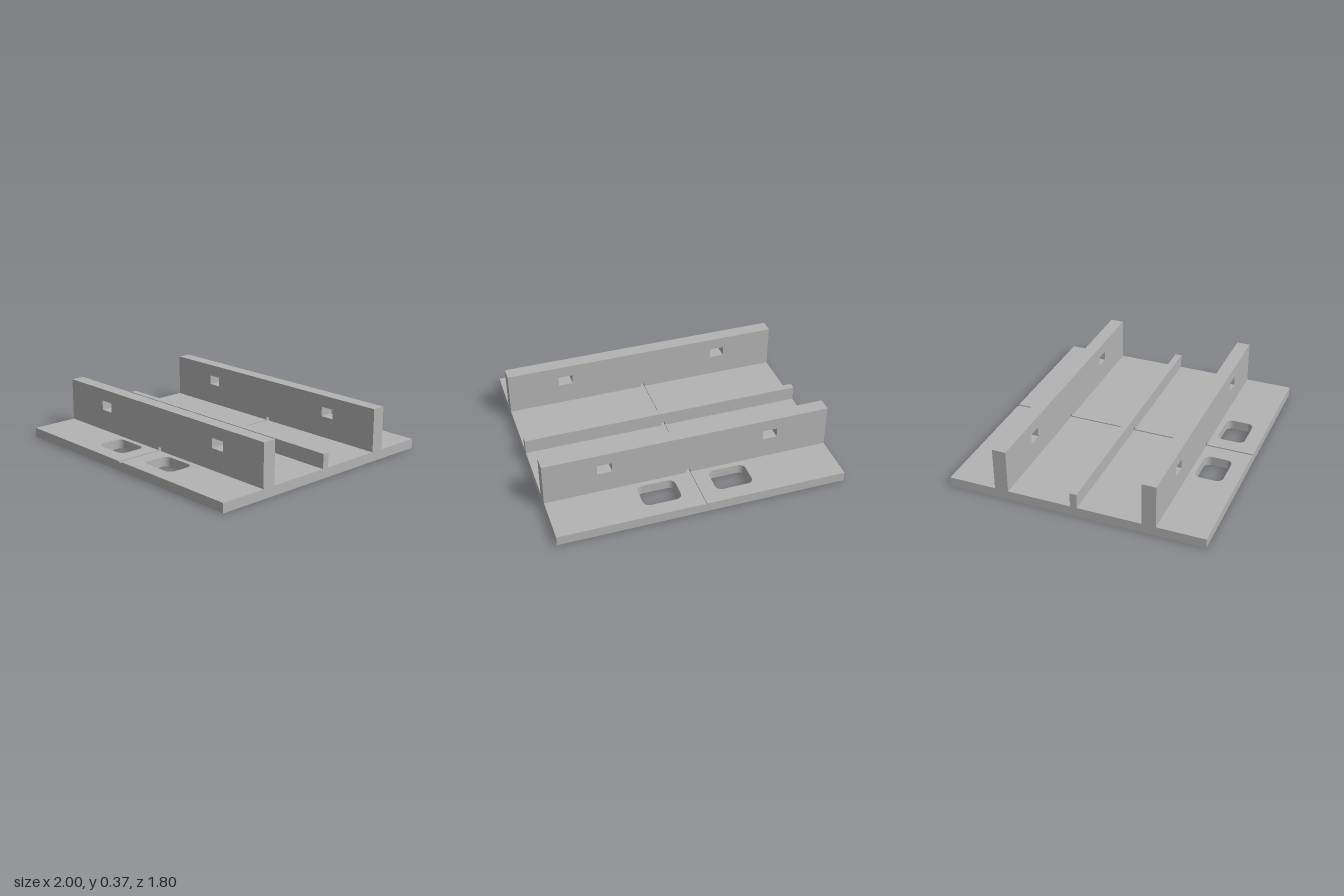
import * as THREE from 'three';

const WIDTH = 2, DEPTH = 1.8;
const PLATE_TOP = 0.067, GROOVE_FLOOR = 0.059, GROOVE_TOP = 0.091, GROOVE_HALF = 0.013;

// Rectangle path, optionally with rounded corners
function rect(path, x0, y0, x1, y1, r = 0) {
  if (r === 0) {
    path.moveTo(x0, y0).lineTo(x1, y0).lineTo(x1, y1).lineTo(x0, y1).closePath();
    return path;
  }
  path.moveTo(x0 + r, y0);
  path.absarc(x1 - r, y0 + r, r, -Math.PI / 2, 0);
  path.absarc(x1 - r, y1 - r, r, 0, Math.PI / 2);
  path.absarc(x0 + r, y1 - r, r, Math.PI / 2, Math.PI);
  path.absarc(x0 + r, y0 + r, r, Math.PI, Math.PI * 1.5);
  path.closePath();
  return path;
}

function extrude(shape, depth) {
  return new THREE.ExtrudeGeometry(shape, { depth, bevelEnabled: false, curveSegments: 8 });
}

export function createModel() {
  const group = new THREE.Group();
  const grey = new THREE.MeshStandardMaterial({ color: 0xb3b3b3 });
  grey.name = 'plain grey';

  const add = (name, geometry) => {
    const mesh = new THREE.Mesh(geometry, grey);
    mesh.name = name;
    group.add(mesh);
    return mesh;
  };

  // Horizontal slab with rounded slots on the given sides
  const slab = (name, x0, x1, y0, y1, sides) => {
    const shape = rect(new THREE.Shape(), x0, -DEPTH / 2, x1, DEPTH / 2);
    for (const s of sides) {
      const a = s > 0 ? 0.12 : -0.383;
      for (const z of [-0.797, 0.602]) {
        shape.holes.push(rect(new THREE.Path(), a, z, a + 0.263, z + 0.195, 0.045));
      }
    }
    add(name, extrude(shape, y1 - y0).rotateX(-Math.PI / 2).translate(0, y0, 0));
  };

  // Base plate: full lower layer, upper layer split by the central groove
  slab('basePlate', -WIDTH / 2, WIDTH / 2, 0, GROOVE_FLOOR, [-1, 1]);
  slab('plateTopLeft', GROOVE_HALF, WIDTH / 2, GROOVE_FLOOR, PLATE_TOP, [1]);
  slab('plateTopRight', -WIDTH / 2, -GROOVE_HALF, GROOVE_FLOOR, PLATE_TOP, [-1]);

  // Upright rail with a notch over the groove and optional windows
  const rail = (name, z, thickness, top, windows) => {
    const w = WIDTH / 2, g = GROOVE_HALF;
    const shape = new THREE.Shape();
    shape.moveTo(-w, PLATE_TOP).lineTo(-g, PLATE_TOP).lineTo(-g, GROOVE_TOP)
      .lineTo(g, GROOVE_TOP).lineTo(g, PLATE_TOP).lineTo(w, PLATE_TOP)
      .lineTo(w, top).lineTo(-w, top).closePath();
    if (windows) {
      for (const x of [-0.583, 0.583]) {
        shape.holes.push(rect(new THREE.Path(), x - 0.051, 0.217, x + 0.051, 0.286));
      }
    }
    add(name, extrude(shape, thickness).translate(0, 0, z - thickness / 2));
  };

  rail('frontWall', 0.517, 0.096, 0.37, true);
  rail('backWall', -0.517, 0.096, 0.37, true);
  rail('centreRib', 0, 0.048, 0.17, false);

  return group;
}
